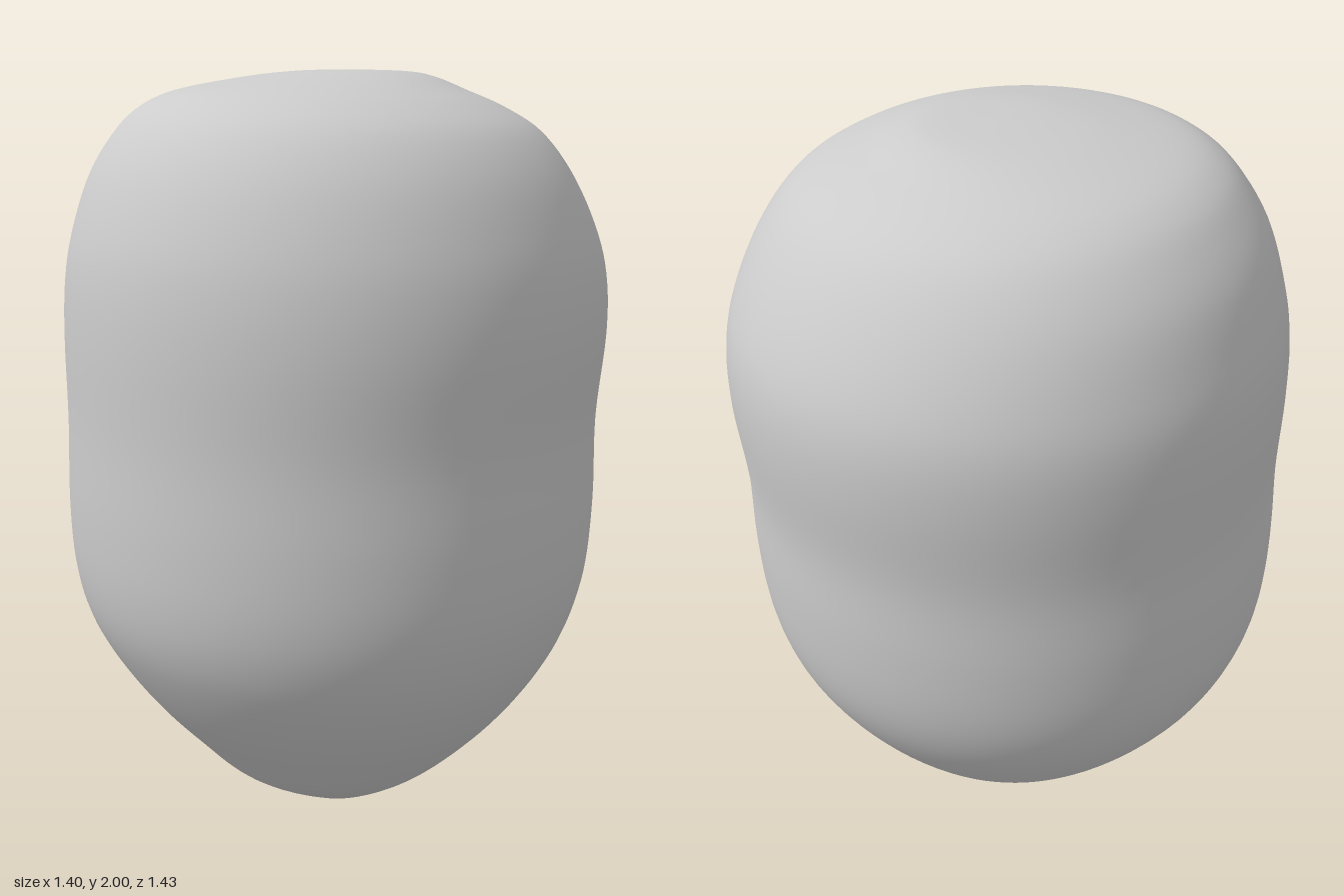
import * as THREE from 'three';

// Outline rows from bottom to top: y, xMin, xMax, zMin, zMax
const ROWS = [
  [0, -0.01, -0.01, 0, 0],
  [0.015, -0.1, 0.08, -0.08, 0.09],
  [0.05, -0.175, 0.16, -0.145, 0.16],
  [0.14, -0.31, 0.3, -0.29, 0.31],
  [0.25, -0.42, 0.42, -0.405, 0.42],
  [0.37, -0.525, 0.525, -0.505, 0.525],
  [0.5, -0.615, 0.61, -0.59, 0.615],
  [0.62, -0.668, 0.66, -0.645, 0.675],
  [0.75, -0.695, 0.688, -0.675, 0.705],
  [0.92, -0.7, 0.695, -0.688, 0.714],
  [1.13, -0.69, 0.688, -0.69, 0.71],
  [1.35, -0.696, 0.7, -0.71, 0.71],
  [1.5, -0.688, 0.69, -0.705, 0.7],
  [1.62, -0.66, 0.66, -0.67, 0.675],
  [1.75, -0.613, 0.605, -0.6, 0.625],
  [1.85, -0.545, 0.53, -0.52, 0.56],
  [1.91, -0.48, 0.44, -0.43, 0.49],
  [1.95, -0.39, 0.345, -0.34, 0.4],
  [1.982, -0.24, 0.25, -0.25, 0.24],
  [1.996, -0.1, 0.17, -0.16, 0.13],
  [2, 0.01, 0.01, 0, 0],
];

// Smooth curve carrying (min, y, max) of one axis up the body
function outline(minColumn) {
  const points = ROWS.map((r) => new THREE.Vector3(r[minColumn], r[0], r[minColumn + 1]));
  return new THREE.CatmullRomCurve3(points, false, 'catmullrom', 0.5);
}

// Skin of elliptical cross-sections that follow the four outlines
function bodyGeometry(rings, sides) {
  const xCurve = outline(1);
  const zCurve = outline(3);
  const positions = [];
  const indices = [];
  for (let i = 0; i <= rings; i++) {
    const x = xCurve.getPoint(i / rings);
    const z = zCurve.getPoint(i / rings);
    for (let j = 0; j < sides; j++) {
      const a = (j / sides) * Math.PI * 2;
      positions.push(
        (x.x + x.z) / 2 + ((x.z - x.x) / 2) * Math.sin(a),
        THREE.MathUtils.clamp(x.y, 0, 2),
        (z.x + z.z) / 2 + ((z.z - z.x) / 2) * Math.cos(a),
      );
      if (i === rings) continue;
      const k = (j + 1) % sides;
      const p = i * sides;
      const q = p + sides;
      if (i > 0) indices.push(p + j, p + k, q + k);
      if (i < rings - 1) indices.push(p + j, q + k, q + j);
      else continue;
    }
  }
  const geometry = new THREE.BufferGeometry();
  geometry.setAttribute('position', new THREE.Float32BufferAttribute(positions, 3));
  geometry.setIndex(indices);
  geometry.computeVertexNormals();
  // Even shading at the two poles
  for (let j = 0; j < sides; j++) {
    geometry.attributes.normal.setXYZ(j, 0, -1, 0);
    geometry.attributes.normal.setXYZ(rings * sides + j, 0, 1, 0);
  }
  return geometry;
}

export function createModel() {
  const model = new THREE.Group();
  model.name = 'roundedPod';
  const body = new THREE.Mesh(
    bodyGeometry(100, 96),
    new THREE.MeshStandardMaterial({ color: 0xcccccc }),
  );
  body.name = 'body';
  model.add(body);
  return model;
}
